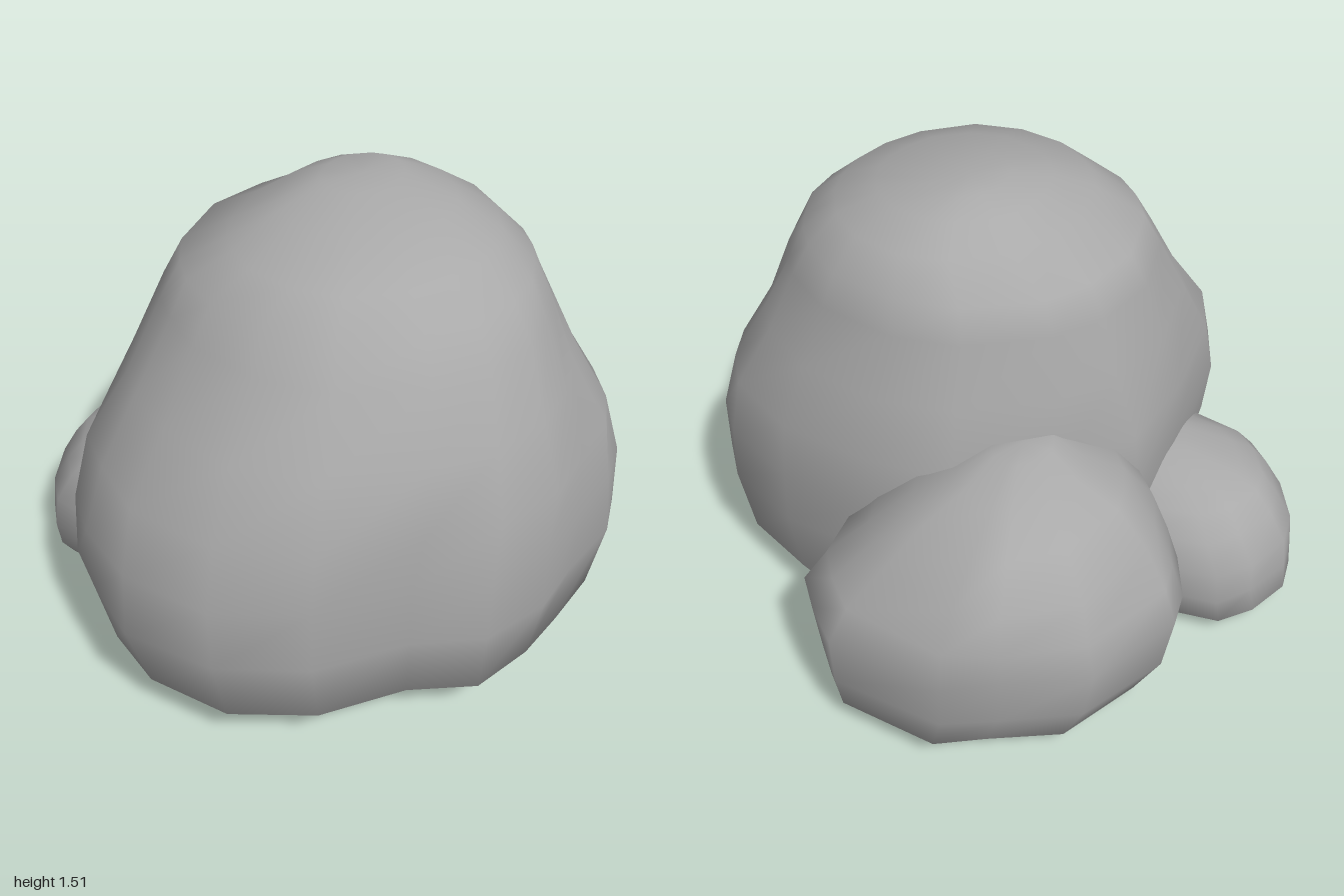
import * as THREE from 'three';

const stone = new THREE.MeshStandardMaterial({ color: 0xa9a9a9 });
stone.name = 'grey stone';

// Stretches one plan outline [x, z] to the ranges of each level
// [y, xMin, xMax, zMin, zMax] and skins the loops, bottom to top.
// Between the two heights in "rounding" the outline turns into an ellipse.
function boulder(name, outline, levels, rounding, bump, lift = () => 0) {
  const box = new THREE.Box2().setFromPoints(outline.map(([x, z]) => new THREE.Vector2(x, z)));
  const size = box.getSize(new THREE.Vector2());
  const n = outline.length, pos = [], index = [];
  const add = (x, y, z) => pos.push(x, y + lift(x, y, z), z);

  levels.forEach(([y, x0, x1, z0, z1], k) => {
    const t = THREE.MathUtils.smoothstep(y, rounding[0], rounding[1]);
    outline.forEach(([ox, oz], i) => {
      // gentle hollows and swellings of the weathered surface
      const s = 1 + bump * Math.sin(i * 2.1 + k * 1.7) * Math.sin(k * 1.3 + i * 0.6);
      const u = (ox - box.min.x) / size.x - 0.5, v = (oz - box.min.y) / size.y - 0.5;
      const r = s * THREE.MathUtils.lerp(1, 0.51 / Math.hypot(u, v), t);
      add((x0 + x1) / 2 + u * r * (x1 - x0), y, (z0 + z1) / 2 + v * r * (z1 - z0));
    });
  });
  for (let k = 0; k < levels.length - 1; k++) {
    for (let i = 0; i < n; i++) {
      const a = k * n + i, b = k * n + (i + 1) % n;
      index.push(a, a + n, b, b, a + n, b + n);
    }
  }
  // close the underside and the crown
  const last = levels.length - 1;
  [0, last].forEach((k) => {
    const [y, x0, x1, z0, z1] = levels[k], c = pos.length / 3;
    add((x0 + x1) / 2, y, (z0 + z1) / 2);
    for (let i = 0; i < n; i++) {
      const a = k * n + i, b = k * n + (i + 1) % n;
      if (k === 0) index.push(c, a, b);
      else index.push(c, b, a);
    }
  });

  const geometry = new THREE.BufferGeometry();
  geometry.setAttribute('position', new THREE.Float32BufferAttribute(pos, 3));
  geometry.setIndex(index);
  geometry.computeVertexNormals();
  const mesh = new THREE.Mesh(geometry, stone);
  mesh.name = name;
  return mesh;
}

export function createModel() {
  const group = new THREE.Group();
  group.name = 'boulders';

  // tall main boulder
  group.add(boulder('mainBoulder', [
    [-0.1, -0.57], [0.17, -0.62], [0.5, -0.61], [0.78, -0.5], [0.9, -0.38], [0.95, -0.23],
    [0.94, 0], [0.93, 0.2], [0.86, 0.42], [0.68, 0.57], [0.5, 0.82], [0.25, 0.97],
    [-0.05, 0.99], [-0.27, 0.9], [-0.42, 0.8], [-0.5, 0.58], [-0.52, 0.2], [-0.53, -0.13], [-0.36, -0.32],
  ], [
    [0, -0.38, 0.56, -0.47, 0.48],
    [0.05, -0.43, 0.72, -0.53, 0.82],
    [0.16, -0.46, 0.91, -0.57, 0.94],
    [0.4, -0.51, 0.95, -0.6, 1],
    [0.6, -0.53, 0.94, -0.61, 0.98],
    [0.8, -0.53, 0.92, -0.61, 0.92],
    [1, -0.47, 0.83, -0.55, 0.79],
    [1.2, -0.42, 0.74, -0.49, 0.64],
    [1.31, -0.37, 0.67, -0.46, 0.57],
    [1.4, -0.21, 0.56, -0.37, 0.47],
    [1.47, -0.11, 0.41, -0.27, 0.28],
    [1.51, -0.01, 0.22, -0.18, 0.1],
  ], [0.5, 1.2], 0.012));

  // lower boulder behind, leaning on the main one, its underside rising to the back
  group.add(boulder('backBoulder', [
    [-0.3, -1], [0.08, -1], [0.2, -0.9], [0.29, -0.8], [0.29, -0.6], [0.25, -0.3], [0.05, -0.05],
    [-0.3, 0.05], [-0.55, 0], [-0.7, -0.17], [-0.78, -0.32], [-0.8, -0.44], [-0.67, -0.75], [-0.45, -0.9],
  ], [
    [0.01, -0.6, 0.2, -0.9, 0],
    [0.05, -0.68, 0.26, -0.96, 0.02],
    [0.2, -0.76, 0.28, -0.98, 0.05],
    [0.42, -0.8, 0.29, -1, 0.03],
    [0.53, -0.75, 0.25, -0.97, 0.02],
    [0.66, -0.68, 0.15, -0.91, -0.02],
    [0.78, -0.58, 0.02, -0.8, -0.12],
    [0.84, -0.46, -0.1, -0.67, -0.24],
    [0.89, -0.35, -0.18, -0.52, -0.3],
  ], [0.4, 0.7], 0.012, (x, y, z) => Math.max(0, -0.47 - z) * 0.14 * Math.max(0, 1 - y / 0.4)));

  // small boulder at the side
  group.add(boulder('sideBoulder', [
    [-0.6, -0.11], [-0.3, -0.1], [-0.1, 0], [-0.05, 0.25], [-0.1, 0.5], [-0.35, 0.61], [-0.52, 0.6],
    [-0.63, 0.57], [-0.76, 0.56], [-0.85, 0.48], [-0.94, 0.33], [-0.96, 0.2], [-0.9, 0.04], [-0.82, -0.07],
  ], [
    [0.02, -0.92, -0.05, -0.04, 0.56],
    [0.06, -0.96, -0.05, -0.09, 0.59],
    [0.16, -0.95, -0.05, -0.11, 0.61],
    [0.27, -0.94, -0.05, -0.11, 0.6],
    [0.37, -0.88, -0.05, -0.08, 0.56],
    [0.44, -0.82, -0.08, -0.03, 0.51],
    [0.48, -0.74, -0.12, 0.03, 0.44],
    [0.53, -0.55, -0.2, 0.1, 0.34],
  ], [0.3, 0.7], 0.01));

  return group;
}
